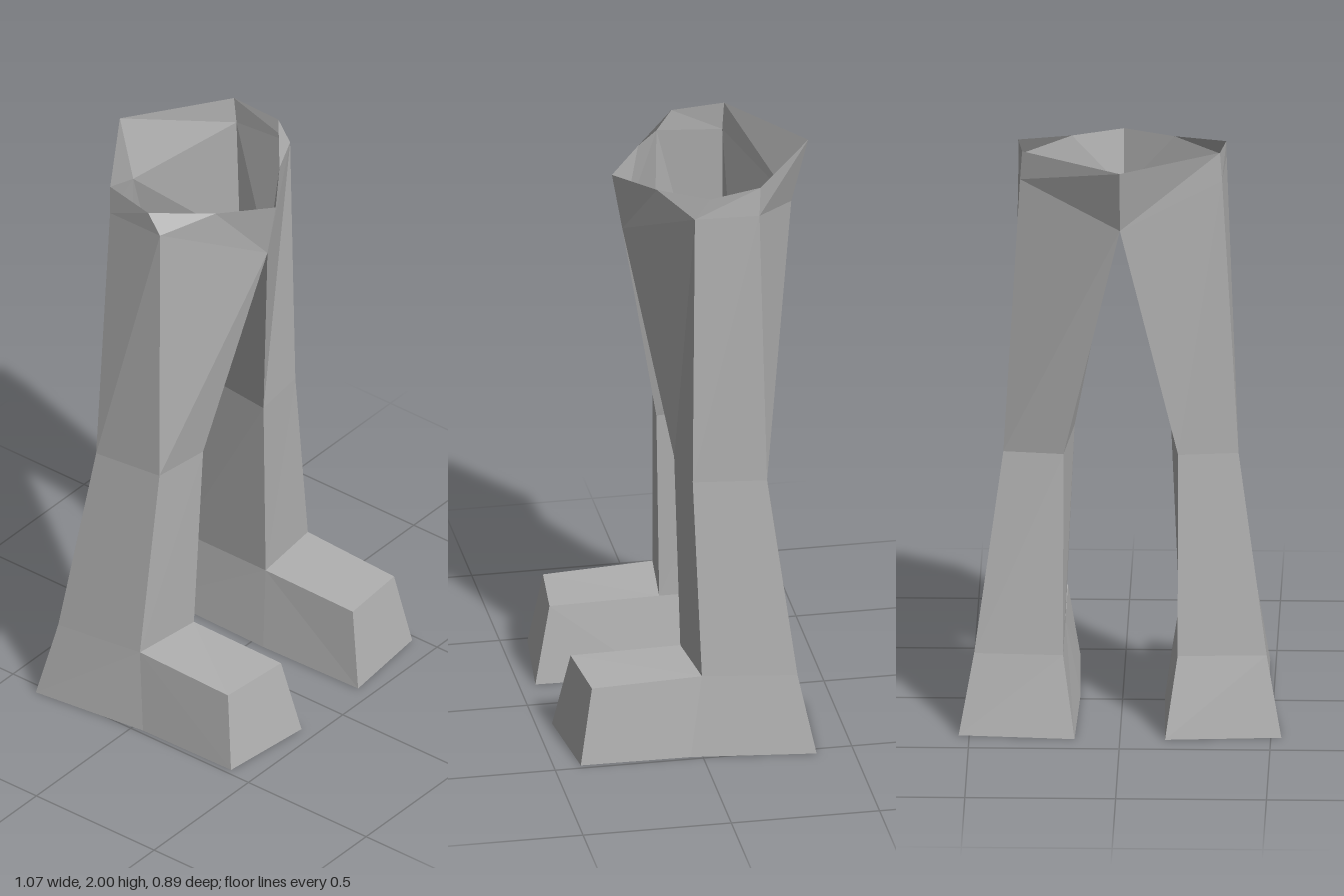
import * as THREE from 'three';

// Flat-faced mesh from polygons; side -1 mirrors it across x.
function facetMesh(name, polygons, side, material) {
  const pos = [];
  for (const polygon of polygons) {
    const pts = side < 0 ? [...polygon].reverse() : polygon;
    for (let i = 1; i < pts.length - 1; i++) {
      for (const [x, y, z] of [pts[0], pts[i], pts[i + 1]]) pos.push(x * side, y, z);
    }
  }
  const geometry = new THREE.BufferGeometry();
  geometry.setAttribute('position', new THREE.Float32BufferAttribute(pos, 3));
  geometry.computeVertexNormals();
  const mesh = new THREE.Mesh(geometry, material);
  mesh.name = name;
  return mesh;
}

// Quads joining successive rings; sides listed in skip stay open.
function loft(rings, skip = () => false) {
  const out = [];
  for (let r = 0; r < rings.length - 1; r++) {
    const a = rings[r], b = rings[r + 1];
    for (let i = 0; i < a.length; i++) {
      const j = (i + 1) % a.length;
      if (!skip(r, i)) out.push([a[i], a[j], b[j], b[i]]);
    }
  }
  return out;
}

export function createModel() {
  const cloth = new THREE.MeshStandardMaterial({ color: 0xb0b0b0, side: THREE.DoubleSide, flatShading: true });
  cloth.name = 'grey cloth';
  const model = new THREE.Group();
  model.name = 'trousers';

  // Leg rings: outer front, inner front, inner back, outer back
  const hip = [[0.345, 1.91, 0], [0, 1.73, 0.18], [0, 1.78, -0.39], [0.335, 1.9, -0.22]];
  const knee = [[0.36, 0.95, 0.01], [0.16, 0.95, 0.035], [0.19, 0.95, -0.26], [0.39, 0.95, -0.235]];
  const ankle = [[0.445, 0.275, -0.005], [0.19, 0.27, 0.02], [0.19, 0.27, -0.335], [0.485, 0.27, -0.32]];
  const sole = [[0.485, 0, 0.04], [0.14, 0, 0.05], [0.15, 0, -0.405], [0.535, 0, -0.375]];

  // Foot rings: top outer, top inner, bottom inner, bottom outer
  const instep = [ankle[0], ankle[1], sole[1], sole[0]];
  const toe = [[0.44, 0.26, 0.365], [0.19, 0.265, 0.39], [0.15, 0, 0.445], [0.48, 0, 0.41]];

  // Open waist edge, from front centre round to back centre
  const frontCentre = [0, 1.93, 0.215], frontMid = [0.17, 1.945, 0.095];
  const sideFront = [0.345, 1.98, -0.05], sideBack = [0.328, 2, -0.225], backCentre = [0, 2, -0.447];

  for (const side of [1, -1]) {
    const label = side > 0 ? 'left' : 'right';
    // Leg, open at the front where the foot joins
    const legFaces = loft([hip, knee, ankle, sole], (r, i) => r === 2 && i === 0);
    model.add(facetMesh(label + 'Leg', [...legFaces, sole], side, cloth));
    // Foot
    model.add(facetMesh(label + 'Foot', [...loft([instep, toe]), toe], side, cloth));
    // Waistband half
    model.add(facetMesh(label + 'Waist', [
      [hip[1], frontMid, frontCentre],
      [hip[1], hip[0], frontMid],
      [hip[0], sideFront, frontMid],
      [hip[0], hip[3], sideBack, sideFront],
      [hip[3], hip[2], backCentre, sideBack],
    ], side, cloth));
  }
  return model;
}
